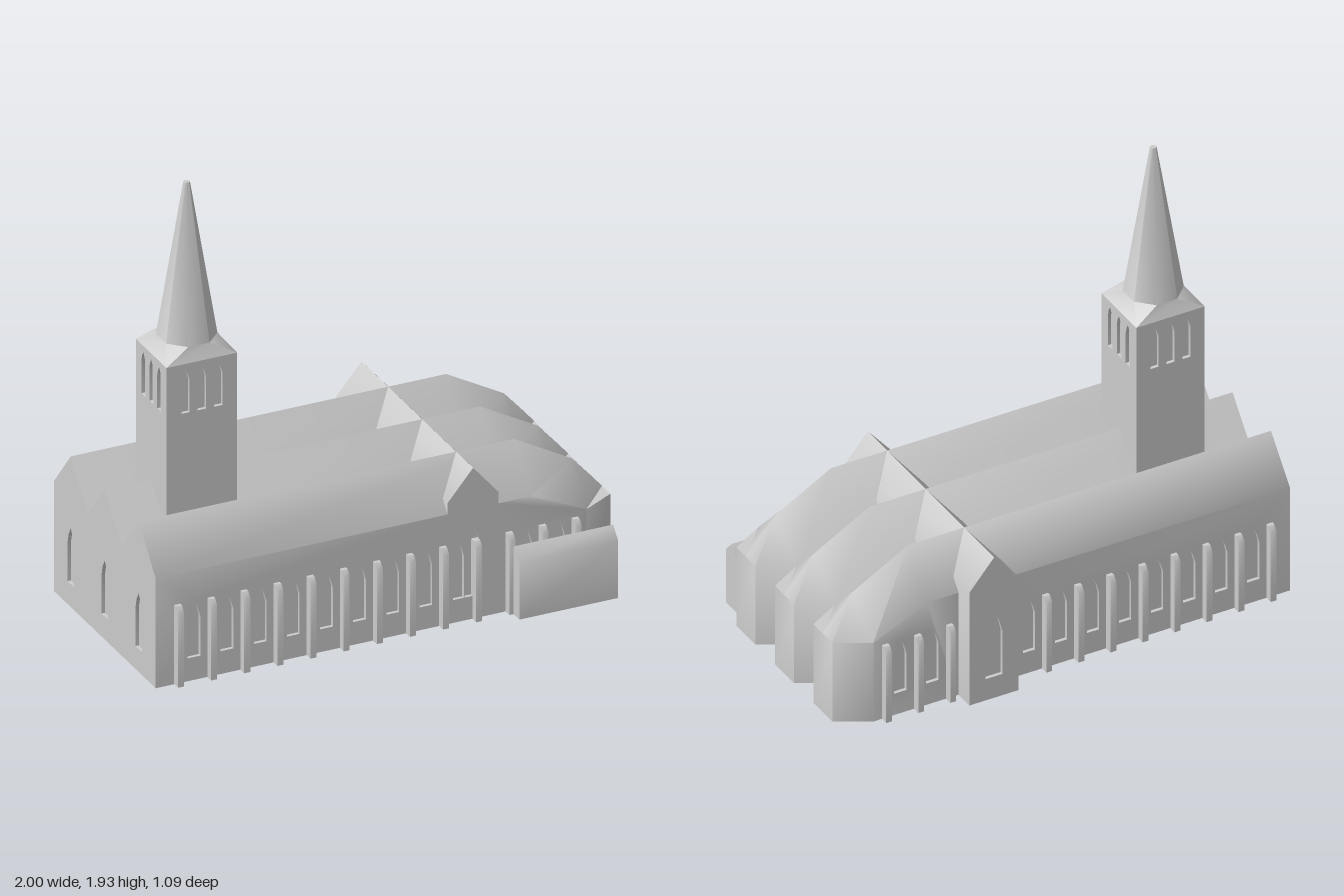
import * as THREE from 'three';
import { mergeGeometries, toCreasedNormals } from 'three/addons/utils/BufferGeometryUtils.js';

const stone = new THREE.MeshStandardMaterial({ color: 0xcccccc });
stone.name = 'pale stone';

const CREASE = 0.78;
const PITCH = 0.306, HALF = 0.153, EAVE = 0.48, RIDGE = 0.66, SIDE = PITCH + HALF;
const WEST = -1, T0 = 0.26, T1 = 0.48, T_MID = 0.37, T_EAVE = 0.53;
const T_NORTH = 0.545, RECESS = 0.015;

// Geometry from a list of four-cornered (or three-cornered) faces
function faces(list) {
  const pos = [];
  for (const [a, b, c, d] of list) {
    pos.push(...a, ...b, ...c);
    if (d) pos.push(...a, ...c, ...d);
  }
  const g = new THREE.BufferGeometry();
  g.setAttribute('position', new THREE.Float32BufferAttribute(pos, 3));
  return g;
}

function flatShape(shape) {
  const g = new THREE.ShapeGeometry(shape).toNonIndexed();
  g.deleteAttribute('uv');
  g.deleteAttribute('normal');
  return g;
}

const toShape = (pts) => new THREE.Shape(pts.map(([x, y]) => new THREE.Vector2(x, y)));

// Pointed lancet outline, counter-clockwise
function lancet(x, width, bottom, top) {
  const w = width / 2;
  return [[-w, bottom], [w, bottom], [w, top - 2.6 * w], [0.62 * w, top - 1.1 * w],
    [0, top], [-0.62 * w, top - 1.1 * w], [-w, top - 2.6 * w]].map(([u, v]) => [x + u, v]);
}

// Wall facing +z with recessed windows, turned about y and then moved
function wall(outline, windows, turn, x, z) {
  const shape = toShape(outline);
  const parts = [];
  for (const pts of windows) {
    shape.holes.push(new THREE.Path(pts.map(([u, v]) => new THREE.Vector2(u, v))));
    parts.push(flatShape(toShape(pts)).translate(0, 0, -RECESS));
    parts.push(faces(pts.map((a, i) => {
      const b = pts[(i + 1) % pts.length];
      return [[...a, 0], [...b, 0], [...b, -RECESS], [...a, -RECESS]];
    })));
  }
  parts.push(flatShape(shape));
  return mergeGeometries(parts).rotateY(turn).translate(x, 0, z);
}

function mesh(name, parts) {
  const m = new THREE.Mesh(toCreasedNormals(mergeGeometries(parts), CREASE), stone);
  m.name = name;
  return m;
}

// Profile in (z, y) pushed along x
function prism(profile, width) {
  const g = new THREE.ExtrudeGeometry(toShape(profile), { depth: width, bevelEnabled: false });
  g.translate(0, 0, -width / 2).rotateY(-Math.PI / 2);
  g.deleteAttribute('uv');
  g.deleteAttribute('normal');
  return g;
}

// One aisle: gabled hall lofted along x, tapering to a three-sided apse
function aisle(cz) {
  const section = (x, xr, half, eave, ridge) => [
    [x, 0, cz + half], [x, eave, cz + half], [xr, ridge, cz],
    [x, eave, cz - half], [x, 0, cz - half]];
  const s = [
    section(WEST, WEST, HALF, EAVE, RIDGE), section(0.62, 0.62, HALF, EAVE, RIDGE),
    section(0.86, 0.87, HALF, 0.37, 0.52), section(1, 1, 0.075, 0.37, 0.37)];
  const list = [];
  for (let i = 0; i < 3; i++) {
    for (let j = 0; j < 4; j++) {
      if (i < 2 && (j === 0 || j === 3)) continue; // side walls come separately
      list.push([s[i][j], s[i + 1][j], s[i + 1][j + 1], s[i][j + 1]]);
    }
    list.push([s[i][4], s[i + 1][4], s[i + 1][0], s[i][0]]);
  }
  list.push([s[3][0], s[3][4], s[3][3], s[3][1]]);
  return faces(list);
}

// Outer aisle wall on either side of the transept; dir is 1 south, -1 north
function sideWalls(dir) {
  const turn = dir > 0 ? 0 : Math.PI;
  const flip = (pts) => (dir > 0 ? pts : pts.map(([x, y]) => [-x, y]));
  const win = (x) => lancet(dir * x, 0.055, 0.1, 0.345);
  const long = [];
  for (let k = 0; k < 8; k++) long.push(win(-0.835 + 0.143 * k));
  return [
    wall(flip([[WEST, 0], [T0, 0], [T0, EAVE], [WEST, EAVE]]), long, turn, 0, dir * SIDE),
    wall(flip([[T1, 0], [0.86, 0], [0.86, 0.37], [0.62, EAVE], [T1, EAVE]]),
      [win(0.597), win(0.74)], turn, 0, dir * SIDE)];
}

// Cross gable with end walls
function transept() {
  const w = (T1 - T0) / 2;
  const gable = [[-w, 0], [w, 0], [w, T_EAVE], [0, RIDGE], [-w, T_EAVE]];
  const big = lancet(0, 0.076, 0.1, 0.4);
  const a = SIDE, b = -T_NORTH;
  const p = (x, y, z) => [x, y, z];
  return [
    wall(gable, [big, lancet(-0.063, 0.046, 0.1, 0.345)], 0, T_MID, a),
    wall(gable, [big], Math.PI, T_MID, b),
    faces([
      [p(T1, 0, a), p(T1, 0, b), p(T1, T_EAVE, b), p(T1, T_EAVE, a)],
      [p(T1, T_EAVE, a), p(T1, T_EAVE, b), p(T_MID, RIDGE, b), p(T_MID, RIDGE, a)],
      [p(T_MID, RIDGE, a), p(T_MID, RIDGE, b), p(T0, T_EAVE, b), p(T0, T_EAVE, a)],
      [p(T0, T_EAVE, a), p(T0, T_EAVE, b), p(T0, 0, b), p(T0, 0, a)],
      [p(T0, 0, a), p(T0, 0, b), p(T1, 0, b), p(T1, 0, a)]])];
}

// Square tower and its broached octagonal spire, centred on the origin in plan
function tower(hx, hz) {
  const walls = [];
  for (let k = 0; k < 4; k++) {
    const [half, out] = k % 2 ? [hz, hx] : [hx, hz];
    const t = k * Math.PI / 2;
    walls.push(wall([[-half, 0.4], [half, 0.4], [half, 1.21], [-half, 1.21]],
      [-0.071, 0, 0.071].map((x) => lancet(x, 0.036, 0.995, 1.183)),
      t, Math.sin(t) * out, Math.cos(t) * out));
  }
  const ring = (r, y) => Array.from({ length: 8 }, (_, i) => {
    const a = (i - 0.5) * Math.PI / 4;
    return [Math.sin(a) * r, y, Math.cos(a) * r];
  });
  const low = ring(0.12, 1.265), top = ring(0.013, 1.93);
  const corner = [[-hx, 1.21, hz], [hx, 1.21, hz], [hx, 1.21, -hz], [-hx, 1.21, -hz]];
  const list = [];
  for (let i = 0; i < 8; i++) {
    const j = (i + 1) % 8;
    list.push([low[i], low[j], top[j], top[i]]);
    list.push([top[i], top[j], [0, 1.93, 0]]);
    const k = i >> 1, c = corner[(k + 1) % 4];
    list.push(i % 2 ? [c, low[j], low[i]] : [corner[k], c, low[j], low[i]]);
  }
  const g = new THREE.Group();
  g.name = 'tower';
  g.add(mesh('towerWalls', walls), mesh('spire', [faces(list)]));
  return g;
}

export function createModel() {
  const group = new THREE.Group();
  group.name = 'church';

  // West front with three gables
  const front = [[-SIDE, 0], [SIDE, 0], [SIDE, EAVE]];
  for (const c of [PITCH, 0, -PITCH]) front.push([c, RIDGE], [c - HALF, EAVE]);
  const westWall = wall(front, [-PITCH, 0, PITCH].map((z) => lancet(z, 0.06, 0.1, 0.345)),
    -Math.PI / 2, WEST, 0);

  group.add(mesh('nave', [...[-PITCH, 0, PITCH].map(aisle),
    ...sideWalls(1), ...sideWalls(-1), westWall]));
  group.add(mesh('transept', transept()));

  const t = tower(0.1525, 0.138);
  t.position.set(-0.648, 0, 0.003);
  group.add(t);

  // Buttresses between the windows, skipping the north transept
  const profile = [[SIDE - 0.01, 0], [0.493, 0], [0.493, 0.325], [0.475, 0.347], [SIDE - 0.01, 0.347]];
  for (const dir of [1, -1]) {
    const parts = [];
    for (let k = 0; k < 13; k++) {
      if (dir < 0 && (k === 8 || k === 9)) continue;
      const b = prism(profile, 0.026);
      if (dir < 0) b.rotateY(Math.PI);
      parts.push(b.translate(-0.907 + 0.143 * k, 0, 0));
    }
    group.add(mesh(dir > 0 ? 'southButtresses' : 'northButtresses', parts));
  }

  // Low gabled annex beside the south aisle
  const annex = prism([[0.452, 0], [0.545, 0], [0.545, 0.25], [0.499, 0.3], [0.452, 0.25]], 0.427);
  group.add(mesh('annex', [annex.translate(0.742, 0, 0)]));

  return group;
}
